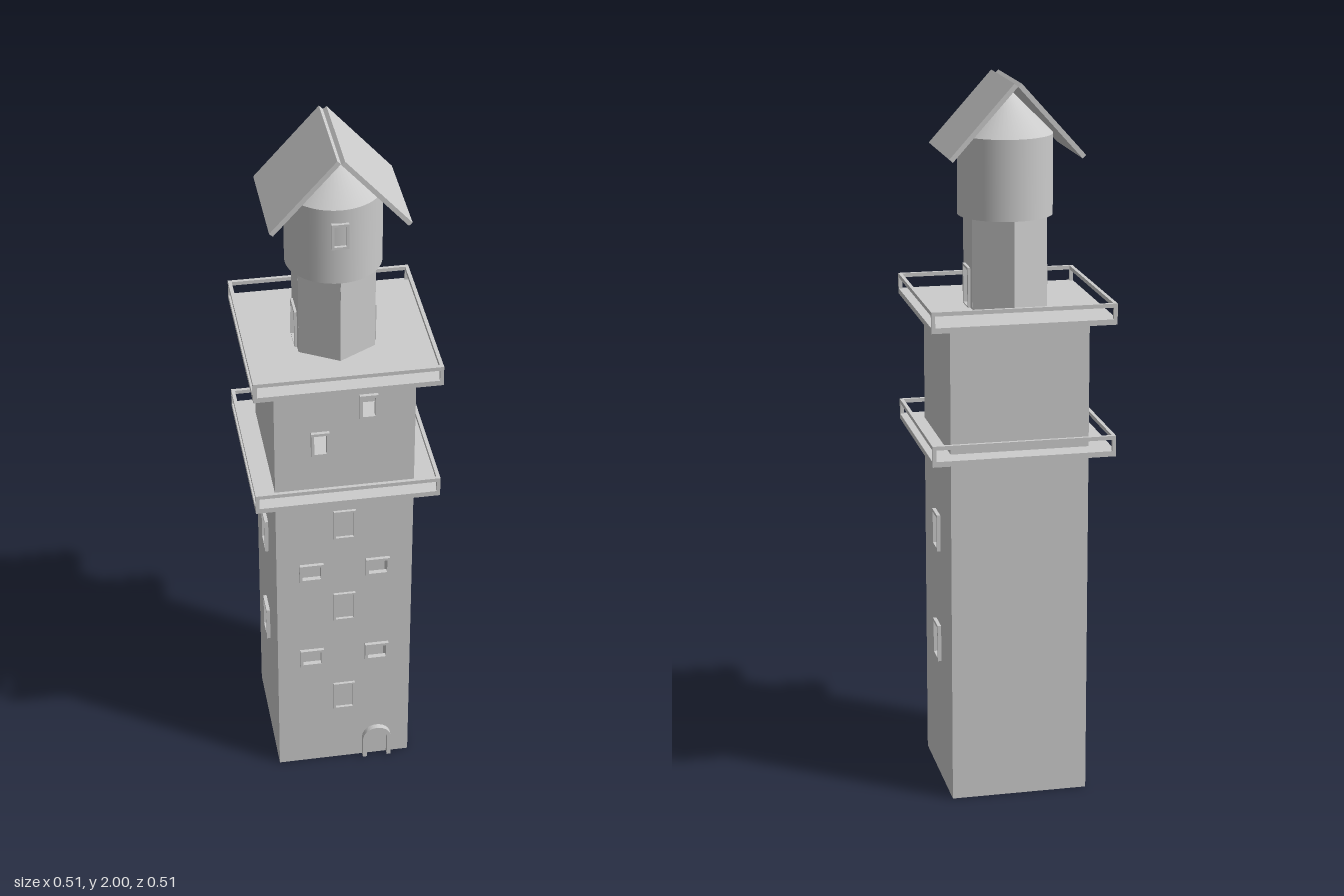
import * as THREE from 'three';

const mat = new THREE.MeshStandardMaterial({ color: 0xcccccc, side: THREE.DoubleSide });

function add(parent, name, geometry, x = 0, y = 0, z = 0) {
  const mesh = new THREE.Mesh(geometry, mat);
  mesh.name = name;
  mesh.position.set(x, y, z);
  parent.add(mesh);
  return mesh;
}

function rect(PathType, x, y, w, h) {
  const p = new PathType();
  p.moveTo(x - w / 2, y - h / 2);
  p.lineTo(x + w / 2, y - h / 2);
  p.lineTo(x + w / 2, y + h / 2);
  p.lineTo(x - w / 2, y + h / 2);
  p.closePath();
  return p;
}

const extrude = (shape, depth) =>
  new THREE.ExtrudeGeometry(shape, { depth, bevelEnabled: false, curveSegments: 12 });

// Thin wall whose outer face lies at z = dist, openings given as [x, y, w, h]
function wall(parent, name, width, height, dist, openings) {
  const t = 0.004;
  const shape = rect(THREE.Shape, 0, height / 2, width, height);
  openings.forEach(o => shape.holes.push(rect(THREE.Path, ...o)));
  add(parent, name, extrude(shape, t), 0, 0, dist - t);
}

// Rectangular surround standing proud of a wall
function frame(parent, name, [x, y, w, h], z, bar = 0.008, depth = 0.01) {
  const shape = rect(THREE.Shape, x, y, w + 2 * bar, h + 2 * bar);
  shape.holes.push(rect(THREE.Path, x, y, w, h));
  add(parent, name, extrude(shape, depth), 0, 0, z);
}

// Square gallery with a slab, corner posts and a handrail
function gallery(y) {
  const g = new THREE.Group();
  g.name = 'gallery';
  g.position.y = y;
  add(g, 'gallerySlab', new THREE.BoxGeometry(0.506, 0.015, 0.506), 0, 0.0075, 0);
  const rail = rect(THREE.Shape, 0, 0, 0.506, 0.506);
  rail.holes.push(rect(THREE.Path, 0, 0, 0.486, 0.486));
  add(g, 'handrail', extrude(rail, 0.011), 0, 0.058, 0).rotation.x = Math.PI / 2;
  for (const sx of [-1, 1]) for (const sz of [-1, 1])
    add(g, 'railPost', new THREE.BoxGeometry(0.01, 0.045, 0.01), sx * 0.248, 0.033, sz * 0.248);
  return g;
}

export function createModel() {
  const tower = new THREE.Group();
  tower.name = 'tower';
  const half = 0.192, bodyH = 1.357;

  // Main shaft: hollow, open below, windows through front and sides
  const small = [];
  for (const y of [0.405, 0.72]) for (const s of [-1, 1]) small.push([s * 0.094, y, 0.052, 0.042]);
  const upper = [[0.064, 1.275, 0.034, 0.06], [-0.068, 1.165, 0.034, 0.06]];
  const tall = [0.245, 0.585, 0.88].map(y => [0, y, 0.05, 0.085]);
  const sideWindows = [0.407, 0.735].map(y => [0, y, 0.054, 0.09]);
  for (let i = 0; i < 4; i++) {
    const side = new THREE.Group();
    side.name = ['frontSide', 'leftSide', 'backSide', 'rightSide'][i];
    side.rotation.y = i * Math.PI / 2;
    const openings = i === 0 ? [...small, ...upper] : i === 2 ? [] : sideWindows;
    wall(side, 'shaftWall', 2 * half - (i % 2 ? 0.008 : 0), bodyH, half, openings);
    openings.forEach(o => frame(side, 'windowFrame', o, half));
    if (i === 0) tall.forEach(o => frame(side, 'tallWindowFrame', o, half, 0.006, 0.008));
    tower.add(side);
  }

  // Arched entrance surround
  const arch = new THREE.Shape();
  arch.moveTo(0.042, 0);
  arch.lineTo(0.042, 0.068);
  arch.absarc(0, 0.068, 0.042, 0, Math.PI, false);
  arch.lineTo(-0.042, 0);
  arch.lineTo(-0.03, 0);
  arch.lineTo(-0.03, 0.068);
  arch.absarc(0, 0.068, 0.03, Math.PI, 0, true);
  arch.lineTo(0.03, 0);
  arch.closePath();
  add(tower, 'doorArch', extrude(arch, 0.016), 0.097, 0, half);

  tower.add(gallery(0.995), gallery(1.362));

  // Hexagonal turret with a doorway on each side
  const door = [0, 0.058, 0.054, 0.1];
  for (let i = 0; i < 6; i++) {
    const facet = new THREE.Group();
    facet.name = 'turretFacet';
    facet.position.y = 1.372;
    facet.rotation.y = Math.PI / 6 + i * Math.PI / 3;
    const hasDoor = i % 3 === 1;
    wall(facet, 'turretWall', 0.12, 0.258, 0.104, hasDoor ? [door] : []);
    if (hasDoor) frame(facet, 'doorFrame', door, 0.104, 0.008, 0.007);
    tower.add(facet);
  }

  // Round top chamber and its conical cap
  add(tower, 'roundChamber', new THREE.CylinderGeometry(0.13, 0.13, 0.22, 48), 0, 1.738, 0);
  add(tower, 'chamberCap', new THREE.ConeGeometry(0.13, 0.13, 48, 1, true), 0, 1.913, 0);
  frame(tower, 'chamberWindowFrame', [-0.004, 1.773, 0.032, 0.06], 0.122, 0.007, 0.016);

  // Two sloping roof boards, slightly offset from each other
  const board = new THREE.BoxGeometry(0.262, 0.013, 0.292);
  add(tower, 'roofBoardRight', board, -0.096, 1.897, -0.004).rotation.z = 0.837;
  add(tower, 'roofBoardLeft', board, 0.089, 1.897, 0.001).rotation.z = -0.837;

  return tower;
}
